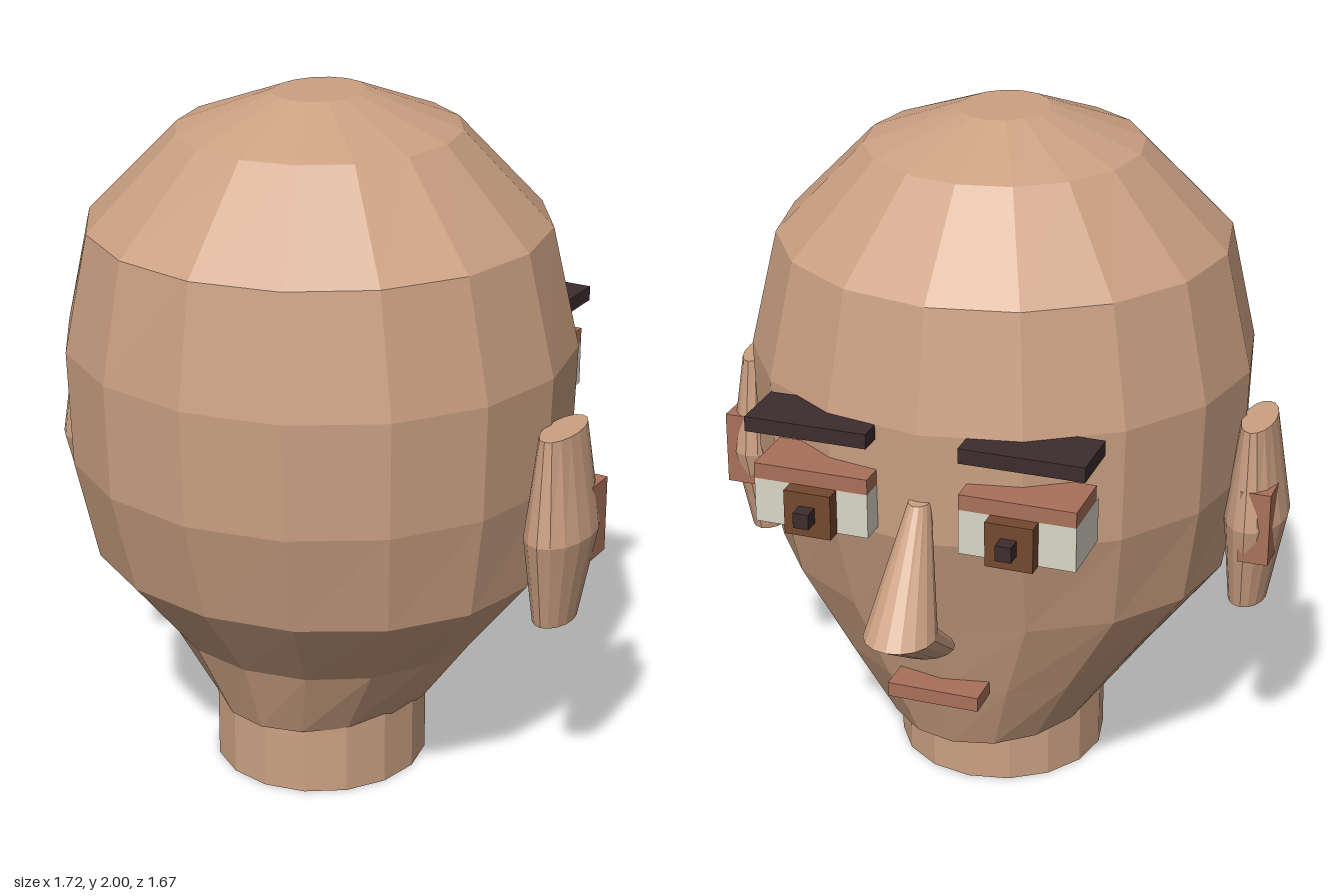
import * as THREE from 'three';

const mat = (name, color) => {
  const m = new THREE.MeshStandardMaterial({ color, flatShading: true });
  m.name = name;
  return m;
};

// Closed loft through horizontal elliptical rings [y, centreX, centreZ, radiusX, radiusZ], bottom to top
function loft(rings, sides = 16) {
  const pos = [], index = [];
  for (const [y, cx, cz, rx, rz] of rings) {
    for (let i = 0; i < sides; i++) {
      const a = (i / sides) * Math.PI * 2;
      pos.push(cx + rx * Math.cos(a), y, cz + rz * Math.sin(a));
    }
  }
  const last = (rings.length - 1) * sides;
  const c0 = rings.length * sides, c1 = c0 + 1;
  for (const r of [rings[0], rings[rings.length - 1]]) pos.push(r[1], r[0], r[2]);
  for (let i = 0; i < sides; i++) {
    const j = (i + 1) % sides;
    for (let k = 0; k < last; k += sides) {
      index.push(k + i, k + sides + i, k + j, k + j, k + sides + i, k + sides + j);
    }
    index.push(c0, i, j, c1, last + j, last + i);
  }
  const g = new THREE.BufferGeometry();
  g.setAttribute('position', new THREE.Float32BufferAttribute(pos, 3));
  g.setIndex(index);
  const flat = g.toNonIndexed();
  flat.computeVertexNormals();
  return flat;
}

// Box given by its limits
function box([x0, x1], [y0, y1], [z0, z1]) {
  return new THREE.BoxGeometry(x1 - x0, y1 - y0, z1 - z0)
    .translate((x0 + x1) / 2, (y0 + y1) / 2, (z0 + z1) / 2);
}

export function createModel() {
  const skin = mat('skin', 0xcca183);
  const flesh = mat('flesh', 0xa9715a);
  const white = mat('eyeWhite', 0xdad6c8);
  const brown = mat('irisBrown', 0x74482f);
  const dark = mat('darkBrown', 0x3d2c2e);

  const model = new THREE.Group();
  model.name = 'head';
  const add = (parent, name, geometry, material) => {
    const m = new THREE.Mesh(geometry, material);
    m.name = name;
    parent.add(m);
  };

  // Skull and jaw, the face looks toward -z
  add(model, 'skull', loft([
    [0.2, 0, 0.065, 0.31, 0.395],
    [0.42, 0, 0.07, 0.47, 0.475],
    [0.67, 0, 0.13, 0.67, 0.61],
    [0.97, 0, 0.125, 0.72, 0.7],
    [1.3, 0, 0.125, 0.73, 0.71],
    [1.64, 0, 0.13, 0.65, 0.65],
    [1.9, 0, 0.125, 0.395, 0.405],
    [2.0, 0, 0.125, 0.125, 0.145],
  ]), skin);

  add(model, 'neck', loft([
    [0, 0, 0.125, 0.31, 0.317],
    [0.32, 0, 0.125, 0.31, 0.317],
  ]), skin);

  // Nose bends back under the tip
  add(model, 'nose', loft([
    [0.65, 0, -0.56, 0.09, 0.082],
    [0.77, 0, -0.727, 0.1, 0.108],
    [1.1, 0, -0.57, 0.03, 0.04],
  ]), skin);

  add(model, 'mouth', box([-0.135, 0.135], [0.42, 0.463], [-0.49, -0.39]), flesh);

  // Paired features
  for (const s of [1, -1]) {
    const side = s > 0 ? 'left' : 'right';
    const span = (a, b) => (s > 0 ? [a, b] : [-b, -a]);

    const ear = new THREE.Group();
    ear.name = side + 'Ear';
    add(ear, 'earShell', loft([
      [0.6, s * 0.755, 0.12, 0.055, 0.09],
      [0.87, s * 0.77, 0.125, 0.09, 0.155],
      [1.165, s * 0.765, 0.125, 0.047, 0.118],
    ]), skin);
    add(ear, 'innerEar', box(span(0.75, 0.838), [0.77, 0.99], [-0.012, 0.08]), flesh);
    model.add(ear);

    const eye = new THREE.Group();
    eye.name = side + 'Eye';
    add(eye, 'eyeball', box(span(0.13, 0.46), [0.99, 1.12], [-0.625, -0.43]), white);
    add(eye, 'eyelid', box(span(0.13, 0.46), [1.12, 1.165], [-0.625, -0.45]), flesh);
    add(eye, 'iris', box(span(0.22, 0.355), [0.99, 1.12], [-0.67, -0.6]), brown);
    add(eye, 'pupil', box(span(0.265, 0.31), [1.035, 1.08], [-0.715, -0.64]), dark);
    model.add(eye);

    add(model, side + 'Eyebrow', box(span(0.13, 0.482), [1.257, 1.3], [-0.627, -0.45]), dark);
  }

  return model;
}
